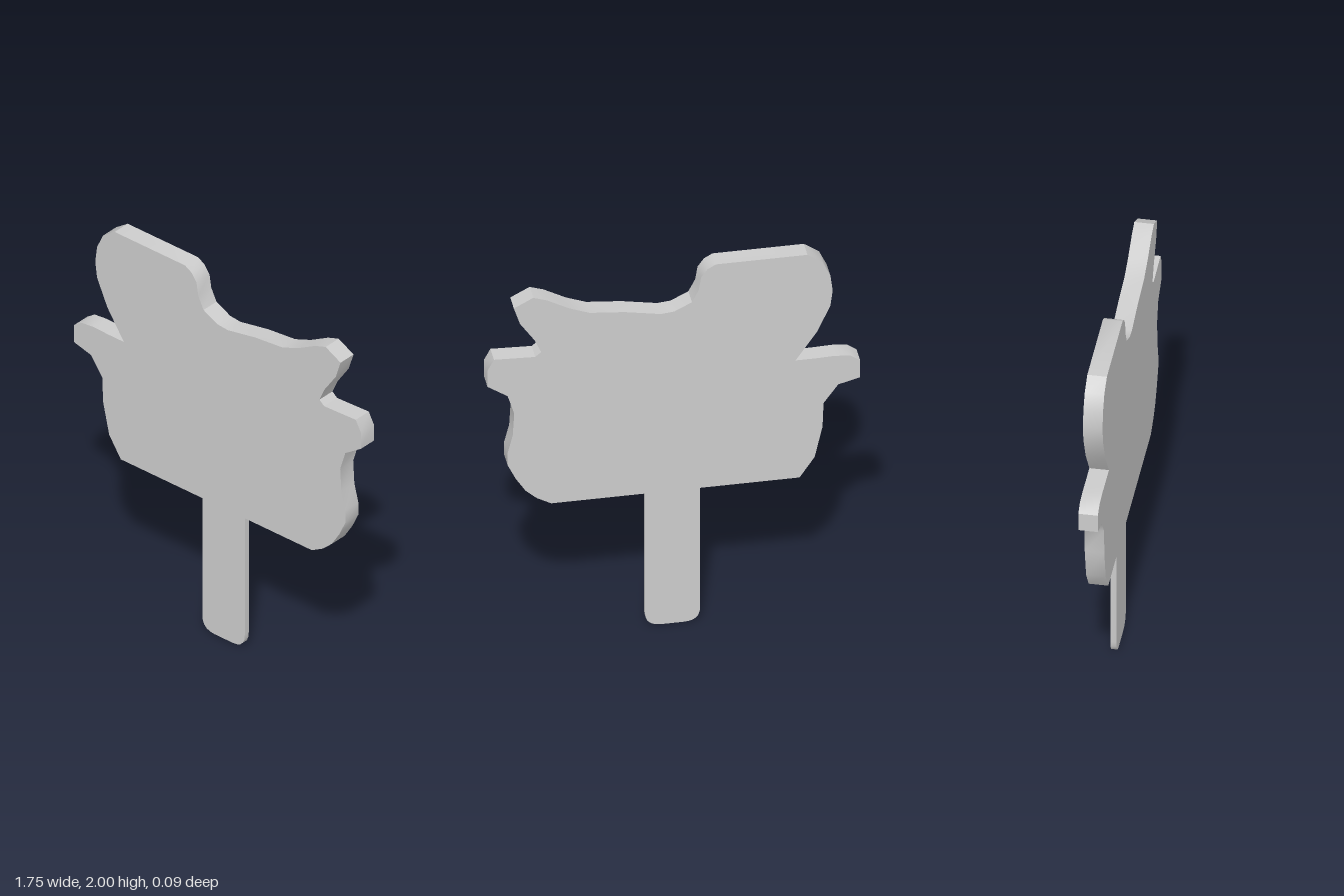
import * as THREE from 'three';
import { toCreasedNormals } from 'three/addons/utils/BufferGeometryUtils.js';

const material = new THREE.MeshStandardMaterial({ color: 0xcccccc });

// Flat plate cut from an outline, between two depths
function plate(name, shape, zBack, zFront) {
  const geometry = new THREE.ExtrudeGeometry(shape, {
    depth: zFront - zBack, bevelEnabled: false, curveSegments: 5,
  });
  geometry.translate(0, 0, zBack);
  const mesh = new THREE.Mesh(toCreasedNormals(geometry, 0.6), material);
  mesh.name = name;
  return mesh;
}

// Silhouette of the sign, clockwise from the top left
const outline = [
  // raised head
  [-0.63, 2], [-0.2, 2], [-0.16, 1.977], [-0.13, 1.935], [-0.119, 1.866], [-0.087, 1.802],
  // sagging back
  [-0.003, 1.76], [0.06, 1.754], [0.23, 1.786], [0.394, 1.802], [0.49, 1.839], [0.595, 1.897],
  // upper tip
  [0.66, 1.919], [0.751, 1.871], [0.722, 1.781], [0.653, 1.68], [0.622, 1.611], [0.65, 1.587],
  // side stub
  [0.844, 1.595], [0.875, 1.537], [0.875, 1.447], [0.78, 1.383],
  // lower side and base
  [0.749, 1.282], [0.756, 1.16], [0.78, 1.065], [0.78, 0.996], [0.743, 0.917], [0.696, 0.843],
  [0.643, 0.795], [0.575, 0.757], [-0.593, 0.757], [-0.664, 0.863], [-0.701, 1.028], [-0.706, 1.16],
  // opposite stub
  [-0.775, 1.256], [-0.878, 1.283], [-0.878, 1.378], [-0.833, 1.41], [-0.76, 1.418],
  [-0.67, 1.415], [-0.574, 1.415],
  // side of the head
  [-0.675, 1.563], [-0.738, 1.701], [-0.749, 1.786], [-0.738, 1.871], [-0.701, 1.95],
];

// Handle with rounded lower corners
function handleShape(halfWidth, top, rx, ry) {
  const s = new THREE.Shape();
  s.moveTo(-halfWidth, top);
  s.lineTo(-halfWidth, ry);
  s.quadraticCurveTo(-halfWidth, 0, -halfWidth + rx, 0);
  s.lineTo(halfWidth - rx, 0);
  s.quadraticCurveTo(halfWidth, 0, halfWidth, ry);
  s.lineTo(halfWidth, top);
  s.closePath();
  return s;
}

export function createModel() {
  const group = new THREE.Group();
  group.name = 'paddleSign';
  const signShape = new THREE.Shape(outline.map(([x, y]) => new THREE.Vector2(x, y)));
  group.add(plate('signPanel', signShape, -0.046, 0.046));
  group.add(plate('handle', handleShape(0.13, 0.757, 0.075, 0.075), -0.023, 0.005));
  return group;
}
